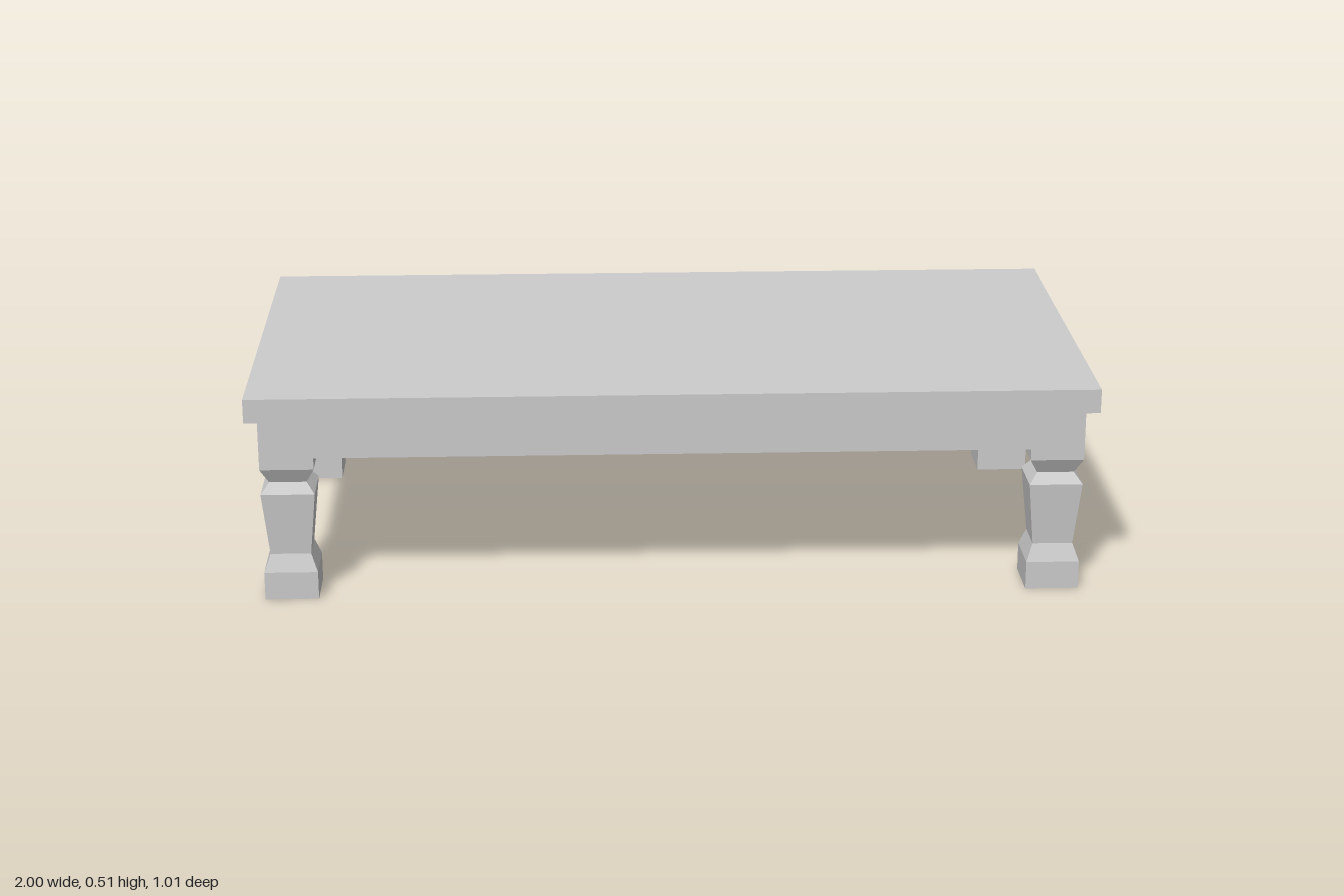
import * as THREE from 'three';

const material = new THREE.MeshStandardMaterial({ color: 0xcccccc, flatShading: true });

// Box given by its bounds on each axis
function slab(name, [x0, x1], [y0, y1], [z0, z1]) {
  const mesh = new THREE.Mesh(new THREE.BoxGeometry(x1 - x0, y1 - y0, z1 - z0), material);
  mesh.name = name;
  mesh.position.set((x0 + x1) / 2, (y0 + y1) / 2, (z0 + z1) / 2);
  return mesh;
}

// Square leg: four-sided lathe of [half width, height]
function legGeometry() {
  const profile = [
    [0, 0], [0.0635, 0], [0.0635, 0.068], [0.048, 0.11], [0.0635, 0.265],
    [0.044, 0.29], [0.0635, 0.327], [0.0635, 0.453], [0, 0.453],
  ].map(([half, y]) => new THREE.Vector2(half * Math.SQRT2, y));
  return new THREE.LatheGeometry(profile, 4, Math.PI / 4).toNonIndexed();
}

export function createModel() {
  const table = new THREE.Group();
  table.name = 'lowTable';

  table.add(slab('tableTop', [-1, 1], [0.453, 0.511], [-0.505, 0.505]));

  // Four turned-in square legs
  const geometry = legGeometry();
  geometry.computeVertexNormals();
  for (const sx of [-1, 1]) {
    for (const sz of [-1, 1]) {
      const leg = new THREE.Mesh(geometry, material);
      leg.name = (sz > 0 ? 'front' : 'back') + (sx > 0 ? 'Left' : 'Right') + 'Leg';
      leg.position.set(sx * 0.908, 0, sz * 0.4135);
      table.add(leg);
    }
  }

  // Long aprons flush with the legs, end aprons slightly set back and deeper
  table.add(
    slab('frontApron', [-0.846, 0.846], [0.355, 0.453], [0.387, 0.477]),
    slab('backApron', [-0.846, 0.846], [0.355, 0.453], [-0.477, -0.387]),
    slab('leftApron', [0.87, 0.955], [0.34, 0.453], [-0.352, 0.352]),
    slab('rightApron', [-0.955, -0.87], [0.34, 0.453], [-0.352, 0.352]),
  );
  return table;
}
